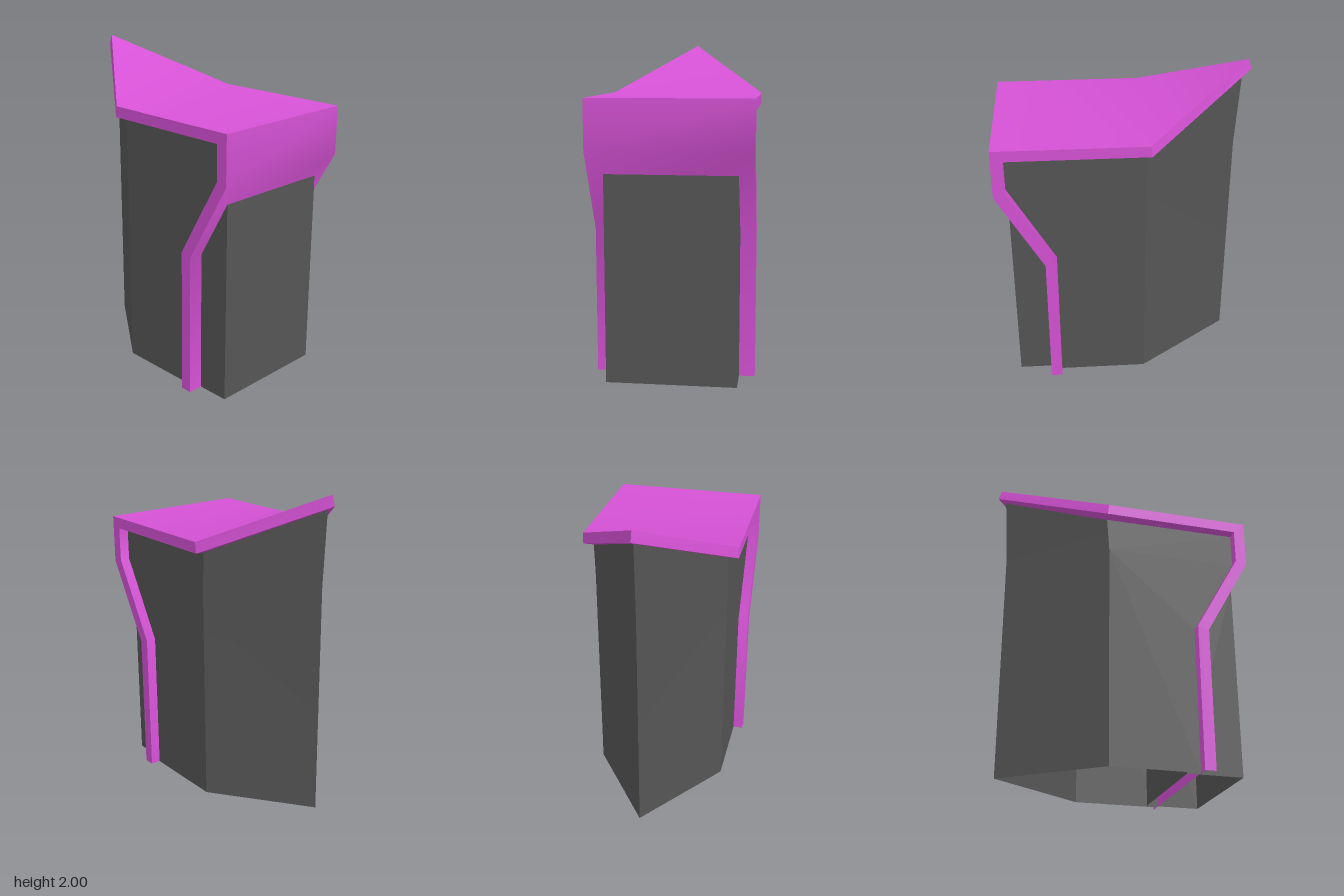
import * as THREE from 'three';
import { toCreasedNormals } from 'three/addons/utils/BufferGeometryUtils.js';

const violet = new THREE.MeshStandardMaterial({ color: 0xd652d6 });
const charcoal = new THREE.MeshStandardMaterial({ color: 0x555555, side: THREE.DoubleSide });

// Mesh from a list of faces, each a fan around its first corner; gentle folds are smooth
function faceMesh(name, faces, material) {
  const positions = [];
  for (const face of faces) {
    for (let i = 1; i < face.length - 1; i++) positions.push(...face[0], ...face[i], ...face[i + 1]);
  }
  const geometry = new THREE.BufferGeometry();
  geometry.setAttribute('position', new THREE.Float32BufferAttribute(positions, 3));
  const mesh = new THREE.Mesh(toCreasedNormals(geometry, 0.55), material);
  mesh.name = name;
  return mesh;
}

// Folded band: pointed roof, back drop, inward slope and legs; the foot is open
function createBand() {
  // Each station: outer x, y, inner x, y, half width
  const stations = [
    [-0.76, 2.0, -0.78, 1.937, 0],
    [-0.132, 1.688, -0.141, 1.62, 0.484],
    [0.78, 1.688, 0.71, 1.62, 0.484],
    [0.78, 1.387, 0.71, 1.405, 0.484],
    [0.5, 0.89, 0.43, 0.91, 0.484],
    [0.5, 0, 0.43, 0, 0.484],
  ].map(([ox, oy, ix, iy, w]) => ({
    outL: [ox, oy, w], outR: [ox, oy, -w], inL: [ix, iy, w], inR: [ix, iy, -w],
  }));
  const faces = [];
  for (let i = 0; i < stations.length - 1; i++) {
    const a = stations[i], b = stations[i + 1];
    faces.push(
      [b.outL, b.outR, a.outR, a.outL],
      [a.inR, b.inR, b.inL, a.inL],
      [a.inL, b.inL, b.outL, a.outL],
      [a.outR, b.outR, b.inR, a.inR],
    );
  }
  return faceMesh('roofBand', faces, violet);
}

// Wedge-nosed walls that fill the band's inner outline and lean out near the top
function createBody() {
  const nose = [[-0.702, 0, 0], [-0.702, 1.45, 0], [-0.727, 1.91, 0]];
  const faces = [];
  for (const side of [1, -1]) {
    const at = (x, y) => [x, y, 0.42 * side];
    const corner = [at(-0.115, 0), at(-0.115, 1.4), at(-0.129, 1.617)];
    const outline = [
      corner[1], corner[0], at(0.43, 0), at(0.43, 0.91),
      at(0.71, 1.405), at(0.71, 1.62), corner[2],
    ];
    const half = [
      outline,
      [nose[0], corner[0], corner[1], nose[1]],
      [nose[1], corner[1], corner[2], nose[2]],
    ];
    // Keep each fan's first corner, reversing the rest on the mirrored side
    for (const [first, ...rest] of half) faces.push([first, ...(side > 0 ? rest : rest.reverse())]);
  }
  return faceMesh('bodyWalls', faces, charcoal);
}

// Narrower rear block, four walls open below
function createRearBlock() {
  const corners = [[0.355, 0.39], [0.703, 0.39], [0.703, -0.39], [0.355, -0.39]];
  const faces = corners.map(([x, z], i) => {
    const [x2, z2] = corners[(i + 1) % 4];
    return [[x, 0, z], [x2, 0, z2], [x2, 1.26, z2], [x, 1.26, z]];
  });
  return faceMesh('rearBlock', faces, charcoal);
}

export function createModel() {
  const model = new THREE.Group();
  model.name = 'wedgeBooth';
  model.add(createBand(), createBody(), createRearBlock());
  return model;
}
